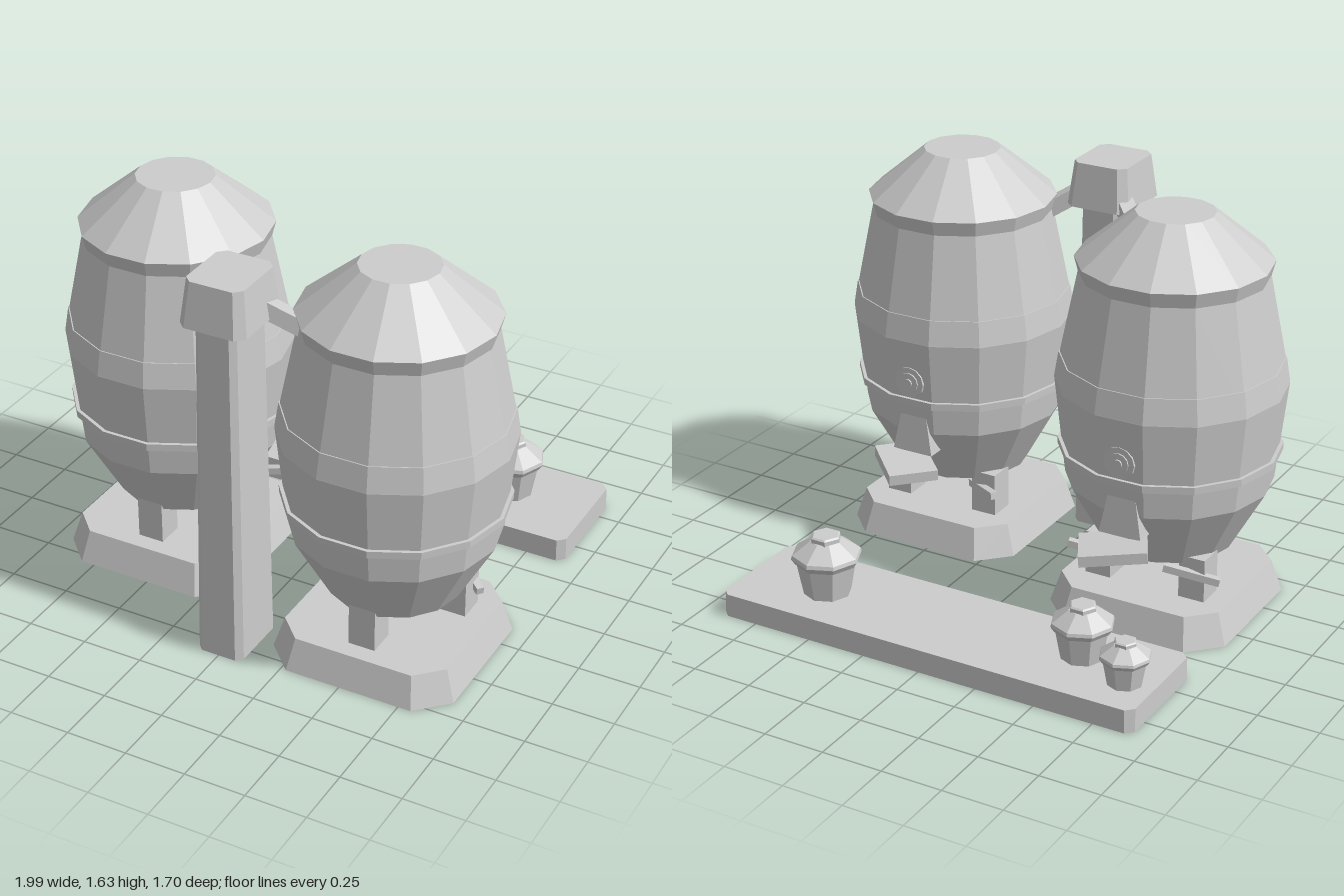
import * as THREE from 'three';

const gray = new THREE.MeshStandardMaterial({ color: 0xcccccc, flatShading: true, side: THREE.DoubleSide });
gray.name = 'plain gray';

const V = (x, y, z) => new THREE.Vector3(x, y, z);

function add(parent, name, geometry, x = 0, y = 0, z = 0) {
  const mesh = new THREE.Mesh(geometry, gray);
  mesh.name = name;
  mesh.position.set(x, y, z);
  parent.add(mesh);
  return mesh;
}

// Rectangle with cut corners, as a loop of eight points
function loop(hx, hz, c, y) {
  return [[hx, hz - c], [hx - c, hz], [c - hx, hz], [-hx, hz - c],
    [-hx, c - hz], [c - hx, -hz], [hx - c, -hz], [hx, c - hz]].map(([x, z]) => V(x, y, z));
}

// Tapered block between two loops; the underside can stay open
function block(lower, upper, closed = false) {
  const points = [], n = lower.length;
  for (let i = 0; i < n; i++) {
    const j = (i + 1) % n;
    points.push(lower[i], upper[i], lower[j], lower[j], upper[i], upper[j]);
    if (i > 0 && i < n - 1) {
      points.push(upper[0], upper[i + 1], upper[i]);
      if (closed) points.push(lower[0], lower[i], lower[i + 1]);
    }
  }
  const g = new THREE.BufferGeometry().setFromPoints(points);
  g.computeVertexNormals();
  return g;
}

// Faceted turned shape with a corner on the x axis
function turned(profile, sides) {
  return new THREE.LatheGeometry(profile.map(([r, y]) => new THREE.Vector2(r, y)), sides, Math.PI / 2);
}

// Square bar between two points
function bar(parent, name, from, to, width, height) {
  const mesh = add(parent, name, new THREE.BoxGeometry(width, height, from.distanceTo(to)));
  mesh.position.copy(from).add(to).multiplyScalar(0.5);
  mesh.lookAt(to);
  return mesh;
}

function makeTank(name, x, z) {
  const tank = new THREE.Group();
  tank.name = name;
  tank.position.set(x, 0, z);

  add(tank, 'base', block(loop(0.385, 0.385, 0.12, 0), loop(0.345, 0.345, 0.1, 0.13)));
  add(tank, 'barrel', turned([[0, 0.28], [0.265, 0.28], [0.41, 0.54], [0.455, 0.945],
    [0.367, 1.385], [0.383, 1.445], [0.155, 1.635], [0, 1.635]], 14));
  add(tank, 'lowerHoop', turned([[0.42, 0.66], [0.44, 0.66], [0.441, 0.69], [0.42, 0.69]], 14));
  add(tank, 'upperHoop', turned([[0.455, 0.948], [0.4385, 1.05], [0.43, 1.05]], 14));

  // Three legs
  for (const [lx, lz] of [[0, 0.215], [0.205, -0.145], [-0.205, -0.145]])
    add(tank, 'leg', new THREE.BoxGeometry(0.11, 0.19, 0.115), lx, 0.215, lz);

  // Leaning levers beside the back legs
  for (const s of [-1, 1])
    bar(tank, 'lever', V(s * 0.17, 0.14, -0.21), V(s * 0.25, 0.35, -0.215), 0.03, 0.03);

  // Outlet and sloping chute
  const outlet = block(
    [V(0.09, 0.45, -0.3), V(-0.09, 0.45, -0.3), V(-0.09, 0.45, -0.42), V(0.09, 0.45, -0.42)],
    [V(0.055, 0.63, -0.36), V(-0.055, 0.63, -0.36), V(-0.055, 0.63, -0.405), V(0.055, 0.63, -0.405)], true);
  add(tank, 'outlet', outlet);
  bar(tank, 'chute', V(0, 0.475, -0.35), V(0, 0.37, -0.59), 0.2, 0.045);

  // Round gauge of stepped discs
  for (const [r, depth] of [[0.065, 0.435], [0.042, 0.441], [0.018, 0.448]]) {
    const disc = add(tank, 'gauge', new THREE.CylinderGeometry(r, r, 0.04, 12), 0, 0.765, 0.02 - depth);
    disc.rotation.x = Math.PI / 2;
  }
  return tank;
}

function makeJar(x, z, size) {
  const jar = new THREE.Group();
  jar.name = 'jar';
  jar.position.set(x, 0.094, z);
  jar.scale.setScalar(size);
  add(jar, 'jarBody', turned([[0, 0], [0.095, 0], [0.125, 0.165]], 8));
  add(jar, 'jarLid', turned([[0.125, 0.135], [0.141, 0.16], [0.137, 0.175], [0.062, 0.23], [0, 0.23]], 8));
  add(jar, 'jarKnob', turned([[0.063, 0.22], [0.063, 0.246], [0.055, 0.252], [0, 0.252]], 6));
  return jar;
}

export function createModel() {
  const model = new THREE.Group();
  model.name = 'twinTanks';
  model.add(makeTank('rightTank', -0.543, 0.16), makeTank('leftTank', 0.538, 0.405));

  // Feed tower with its head and two arms
  const tower = new THREE.Group();
  tower.name = 'feedTower';
  add(tower, 'post', block(loop(0.098, 0.14, 0.025, 0), loop(0.085, 0.12, 0.022, 1.45)), 0, 0, 0.69);
  add(tower, 'head', block(loop(0.138, 0.16, 0.035, 1.42), loop(0.118, 0.135, 0.03, 1.6), true), 0, 0, 0.685);
  bar(tower, 'rightArm', V(-0.05, 1.475, 0.637), V(-0.29, 1.345, 0.405), 0.065, 0.065);
  bar(tower, 'leftArm', V(0.05, 1.495, 0.655), V(0.235, 1.375, 0.56), 0.065, 0.065);
  model.add(tower);

  // Low shelf with three jars
  add(model, 'platform', block(loop(0.912, 0.242, 0.03, 0), loop(0.91, 0.24, 0.03, 0.095)), 0, 0, -0.612);
  model.add(makeJar(-0.79, -0.675, 0.72), makeJar(-0.56, -0.58, 0.89), makeJar(0.555, -0.63, 1));
  return model;
}
